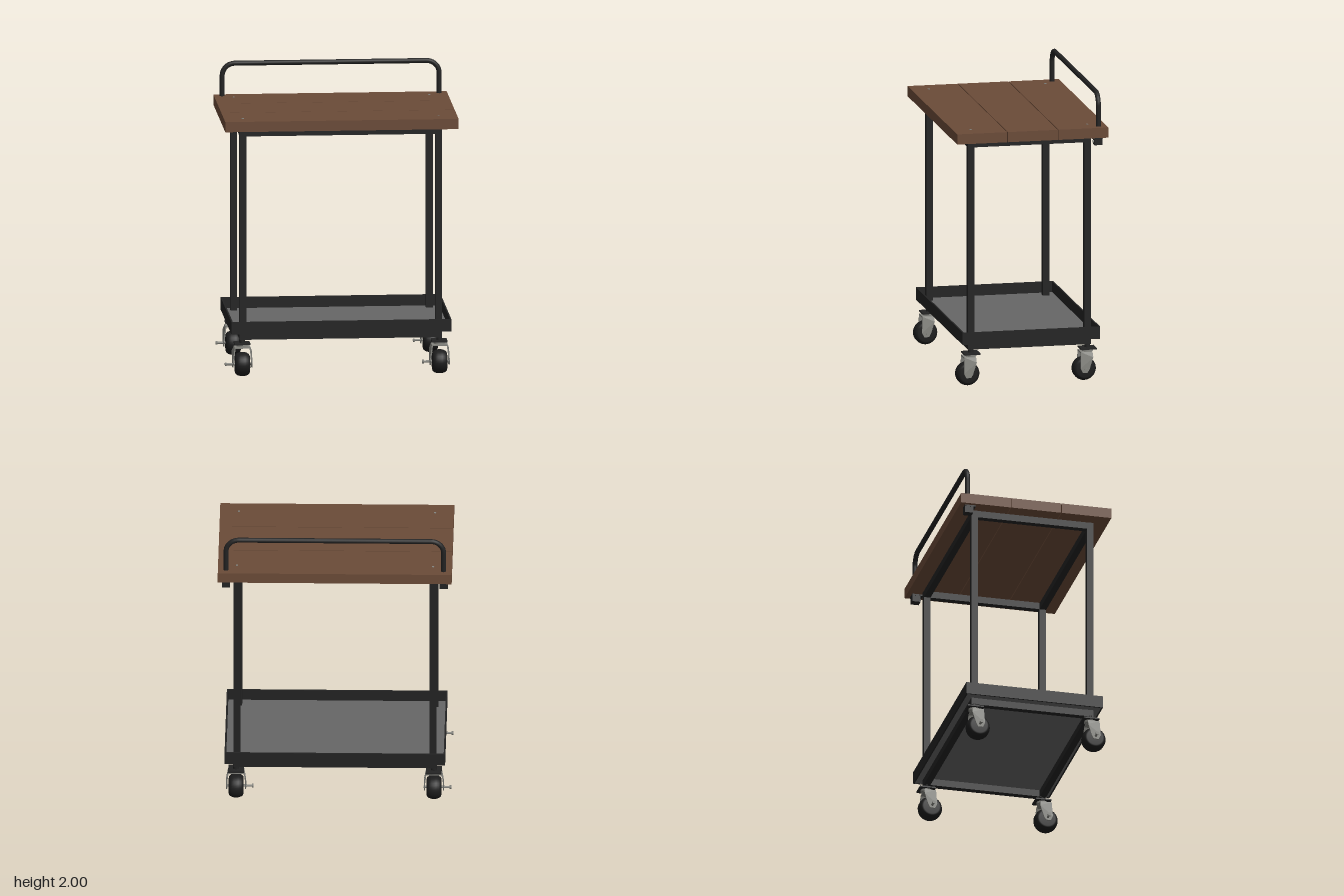
import * as THREE from 'three';

const mat = (color) => new THREE.MeshStandardMaterial({ color });

export function createModel() {
  const root = new THREE.Group();
  root.name = 'servingCart';
  const steel = mat(0x232323), wood = mat(0x6b4b38), sheet = mat(0x666666);
  const zinc = mat(0x85857f), rubber = mat(0x1c1c1c);

  function add(parent, name, geometry, material, x = 0, y = 0, z = 0) {
    const mesh = new THREE.Mesh(geometry, material);
    mesh.name = name;
    mesh.position.set(x, y, z);
    parent.add(mesh);
    return mesh;
  }
  // Box given by its lower and upper bounds on each axis
  const box = (parent, name, material, x0, x1, y0, y1, z0, z1) =>
    add(parent, name, new THREE.BoxGeometry(x1 - x0, y1 - y0, z1 - z0), material,
      (x0 + x1) / 2, (y0 + y1) / 2, (z0 + z1) / 2);
  const cyl = (r, h, n = 20) => new THREE.CylinderGeometry(r, r, h, n);

  // Tabletop: three planks with narrow gaps
  for (let i = -1; i <= 1; i++) {
    const z = i * 0.35;
    box(root, 'plank', wood, -0.79, 0.79, 1.69, 1.76, z - 0.1725, z + 0.1725);
  }

  // Square-tube legs, with a screw through the tabletop above each
  const LX = 0.6625, LZ = 0.4025, T = 0.0225;
  for (const sx of [-1, 1]) for (const sz of [-1, 1]) {
    const x = sx * LX, z = sz * LZ;
    box(root, 'leg', steel, x - T, x + T, 0.245, 1.69, z - T, z + T);
    add(root, 'screw', cyl(0.008, 0.006, 12), zinc, x, 1.76, z);
  }

  // Upper and lower rail frames between the legs
  for (const [y0, y1] of [[1.642, 1.689], [0.246, 0.293]]) for (const s of [-1, 1]) {
    box(root, 'longRail', steel, -LX + T, LX - T, y0, y1, s * LZ - T, s * LZ + T);
    box(root, 'shortRail', steel, s * LX - T, s * LX + T, y0, y1, -LZ + T, LZ - T);
  }

  // Lower tray: sheet floor and upright walls
  box(root, 'trayFloor', sheet, -0.738, 0.738, 0.294, 0.302, -0.468, 0.468);
  for (const s of [-1, 1]) {
    box(root, 'trayLongWall', steel, -0.745, 0.745, 0.293, 0.377, s * 0.47 - 0.005, s * 0.47 + 0.005);
    box(root, 'trayShortWall', steel, s * 0.74 - 0.005, s * 0.74 + 0.005, 0.293, 0.377, -0.465, 0.465);
  }

  // Push handle: one bent tube along the back edge
  const HX = 0.735, HZ = -0.465, HY = 1.983, R = 0.085;
  const path = new THREE.CurvePath();
  const v = (x, y) => new THREE.Vector3(x, y, HZ);
  const bend = (sx) => {
    const pts = [];
    for (let i = 0; i <= 10; i++) {
      const a = (i / 10) * Math.PI / 2;
      pts.push(v(sx * (HX - R + R * Math.cos(a)), HY - R + R * Math.sin(a)));
    }
    return pts;
  };
  const pts = [v(-HX, 1.66), v(-HX, 1.78), ...bend(-1), ...bend(1).reverse(), v(HX, 1.78), v(HX, 1.66)];
  for (let i = 0; i < pts.length - 1; i++) path.add(new THREE.LineCurve3(pts[i], pts[i + 1]));
  add(root, 'handle', new THREE.TubeGeometry(path, 200, 0.017, 14), steel);

  // Handle mounts under the tabletop, each with a bolt
  for (const s of [-1, 1]) {
    const x = s * HX;
    box(root, 'handleMountPlate', steel, x - 0.03, x + 0.03, 1.68, 1.69, -0.49, -0.415);
    box(root, 'handleMountBlock', steel, x - 0.028, x + 0.028, 1.635, 1.68, -0.488, -0.432);
    const bolt = add(root, 'mountBolt', cyl(0.01, 0.008, 12), zinc, x, 1.657, -0.43);
    bolt.rotation.x = Math.PI / 2;
  }

  // Caster wheel profile, turned about its axle
  const wheelProfile = [[0, -0.05], [0.055, -0.05], [0.066, -0.046], [0.075, -0.034], [0.081, -0.015],
    [0.081, 0.015], [0.075, 0.034], [0.066, 0.046], [0.055, 0.05], [0, 0.05]]
    .map(([r, h]) => new THREE.Vector2(r, h));
  const wheelGeo = new THREE.LatheGeometry(wheelProfile, 32);

  // Tapered fork cheek, drawn in (z, y) and given thickness along x
  const cheek = new THREE.Shape([[-0.025, 0.2], [0.055, 0.2], [0.06, 0.09], [0.045, 0.06],
    [0.012, 0.06], [-0.002, 0.085], [-0.027, 0.165]].map(([z, y]) => new THREE.Vector2(z, y)));
  const cheekGeo = new THREE.ExtrudeGeometry(cheek, { depth: 0.008, bevelEnabled: false });
  cheekGeo.translate(0, 0, -0.004);
  cheekGeo.rotateY(-Math.PI / 2);
  // Lean the cheeks inward towards the crown
  function forkCheek(side) {
    const g = cheekGeo.clone(), p = g.attributes.position;
    for (let i = 0; i < p.count; i++) {
      const t = THREE.MathUtils.clamp((p.getY(i) - 0.165) / 0.035, 0, 1);
      p.setX(i, p.getX(i) + side * (0.064 - 0.014 * t));
    }
    g.computeVertexNormals();
    return g;
  }

  function caster(x, z) {
    const g = new THREE.Group();
    g.name = 'caster';
    g.position.set(x, 0, z);
    root.add(g);
    box(g, 'casterPlate', steel, -0.053, 0.053, 0.215, 0.225, -0.055, 0.055);
    add(g, 'casterStem', cyl(0.02, 0.035), steel, 0, 0.235, 0);
    add(g, 'swivelRing', cyl(0.038, 0.016, 24), zinc, 0, 0.208, 0);
    box(g, 'forkCrown', zinc, -0.05, 0.05, 0.191, 0.2, -0.025, 0.055);
    for (const s of [-1, 1]) add(g, 'forkCheek', forkCheek(s), zinc);
    const wheel = add(g, 'wheel', wheelGeo, rubber, 0, 0.081, 0.025);
    wheel.rotation.z = Math.PI / 2;
    // Axle, long on one side with a rounded nut
    const axle = add(g, 'axle', cyl(0.008, 0.18, 12), zinc, -0.02, 0.081, 0.025);
    axle.rotation.z = Math.PI / 2;
    const nut = add(g, 'axleNut', cyl(0.013, 0.012, 6), zinc, -0.112, 0.081, 0.025);
    nut.rotation.z = Math.PI / 2;
  }
  for (const sx of [-1, 1]) for (const sz of [-1, 1]) caster(sx * 0.668, sz * LZ);

  return root;
}
